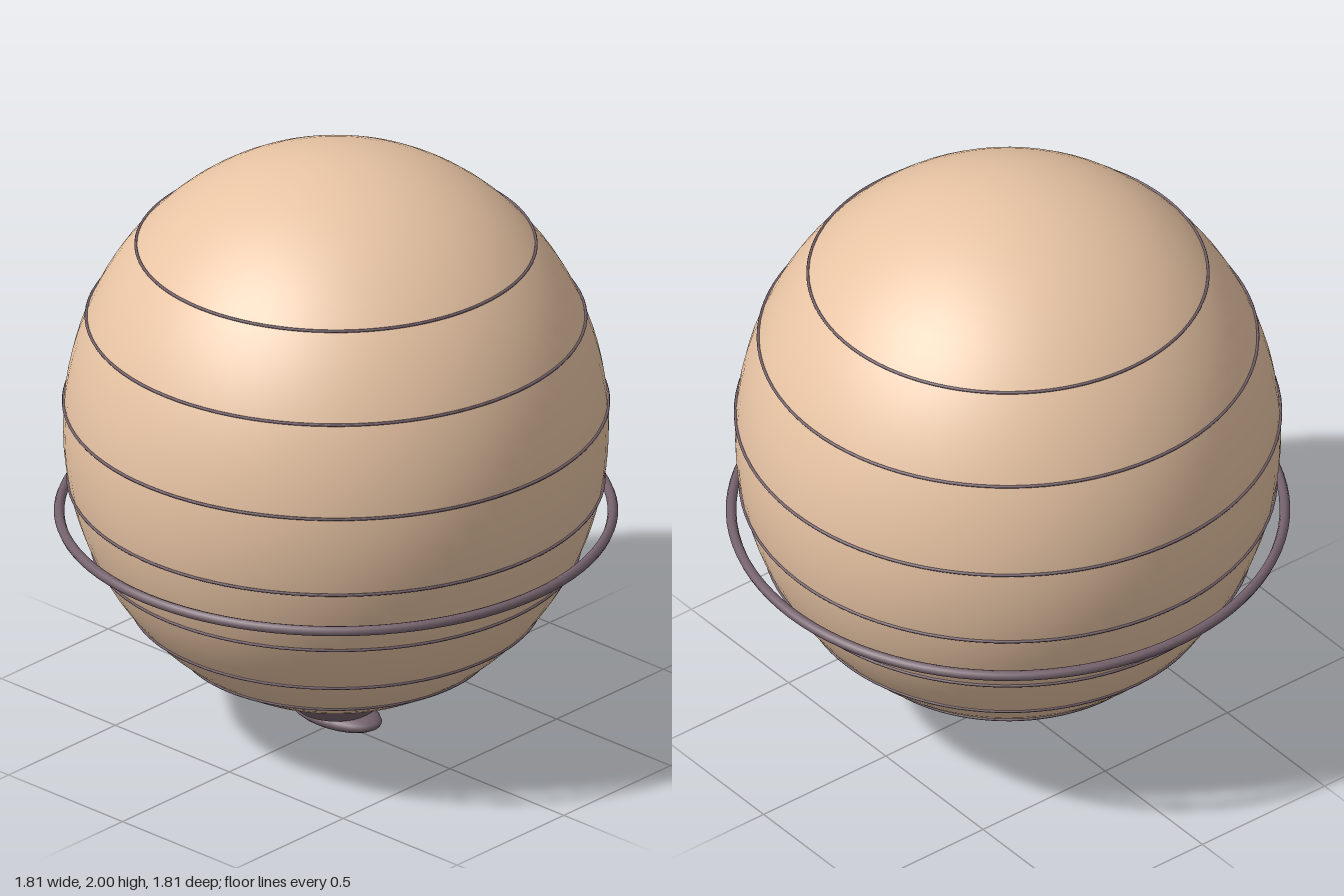
import * as THREE from 'three';

export function createModel() {
  const model = new THREE.Group();
  const skin = new THREE.MeshStandardMaterial({ color: 0xe8c4a4 });
  const dark = new THREE.MeshStandardMaterial({ color: 0x75626c });

  const add = (name, geometry, material, y) => {
    const mesh = new THREE.Mesh(geometry, material);
    mesh.name = name;
    mesh.position.y = y;
    model.add(mesh);
    return mesh;
  };
  const ring = (name, radius, tube, y, sides) =>
    add(name, new THREE.TorusGeometry(radius, tube, sides, 96).rotateX(Math.PI / 2), dark, y);

  // Balloon body: a slightly tall ellipsoid
  const R = 0.875, H = 0.94, CY = 1.06;
  add('balloonBody', new THREE.SphereGeometry(1, 64, 48).scale(R, H, R), skin, CY);

  // Thin seams hugging the body
  [1.702, 1.445, 1.145, 0.868, 0.634, 0.44, 0.29].forEach((y, i) => {
    const r = R * Math.sqrt(1 - ((y - CY) / H) ** 2);
    ring(`seam${i + 1}`, r + 0.002, 0.005, y, 6);
  });

  // Free-standing hoop around the lower half
  ring('hoop', 0.887, 0.017, 0.754, 8);

  // Tapered neck and flattened knot
  add('neck', new THREE.CylinderGeometry(0.2, 0.13, 0.08, 32), dark, 0.105);
  add('knot', new THREE.SphereGeometry(1, 24, 12).scale(0.18, 0.041, 0.1), dark, 0.041);

  return model;
}
